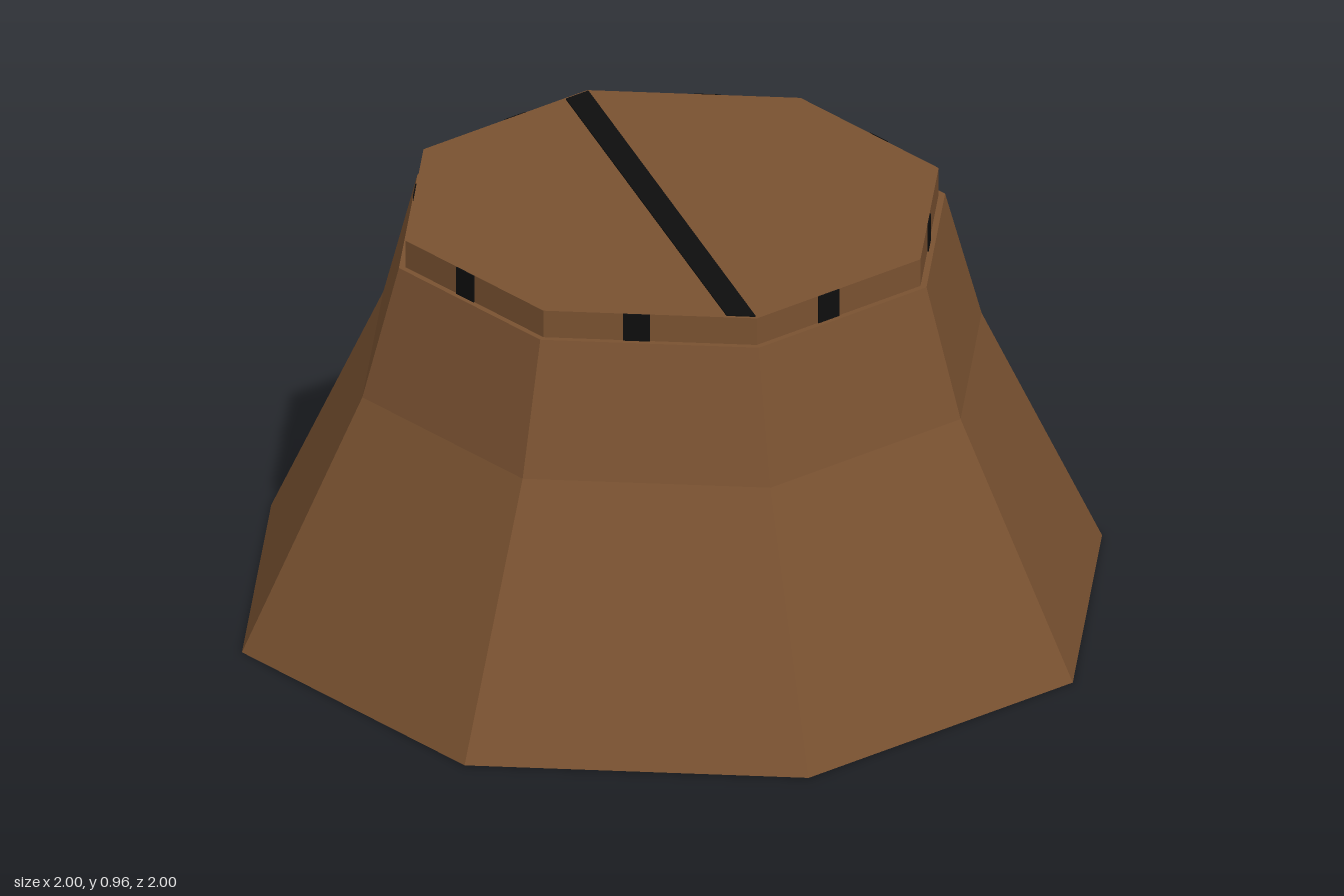
import * as THREE from 'three';

const SIDES = 8;
const CAP_RADIUS = 0.62, CAP_BOTTOM = 0.89, CAP_TOP = 0.955;
const MARK_WIDTH = 0.06, PLATE = 0.003;

const brown = new THREE.MeshStandardMaterial({ color: 0x7a5231, flatShading: true });
brown.name = 'brown';
const black = new THREE.MeshStandardMaterial({ color: 0x0e0e0e, flatShading: true });
black.name = 'black';

function addMesh(parent, name, geometry, material) {
  const mesh = new THREE.Mesh(geometry, material);
  mesh.name = name;
  parent.add(mesh);
  return mesh;
}

// Octagonal solid turned from [radius, height] pairs, with corners on the axes
function octagonSolid(profile) {
  return new THREE.LatheGeometry(profile.map(([r, y]) => new THREE.Vector2(r, y)), SIDES);
}

export function createModel() {
  const model = new THREE.Group();
  model.name = 'octagonalPedestal';

  // Flared body with a closed underside
  addMesh(model, 'body', octagonSolid([[0, 0], [1, 0], [0.72, 0.585], [0.635, CAP_BOTTOM], [0, CAP_BOTTOM]]), brown);

  // Slightly inset cap
  addMesh(model, 'cap', octagonSolid([[CAP_RADIUS, CAP_BOTTOM], [CAP_RADIUS, CAP_TOP], [0, CAP_TOP]]), brown);

  // Stripe across the cap, its ends following the octagon's edge
  const end = CAP_RADIUS - 0.008;
  const endSide = end - MARK_WIDTH * Math.tan(Math.PI / SIDES);
  const outline = new THREE.Shape([
    new THREE.Vector2(0, -end), new THREE.Vector2(0, end),
    new THREE.Vector2(-MARK_WIDTH, endSide), new THREE.Vector2(-MARK_WIDTH, -endSide),
  ]);
  const stripe = new THREE.ExtrudeGeometry(outline, { depth: PLATE, bevelEnabled: false });
  stripe.rotateX(-Math.PI / 2);
  addMesh(model, 'topStripe', stripe, black).position.y = CAP_TOP;

  // One mark on each side of the cap, just left of the side's middle
  const marks = new THREE.Group();
  marks.name = 'sideMarks';
  const height = CAP_TOP - CAP_BOTTOM;
  const apothem = CAP_RADIUS * Math.cos(Math.PI / SIDES);
  const markGeometry = new THREE.BoxGeometry(MARK_WIDTH, height, PLATE);
  markGeometry.translate(-MARK_WIDTH / 2, CAP_BOTTOM + height / 2, apothem + PLATE / 2);
  for (let i = 0; i < SIDES; i++) {
    addMesh(marks, 'sideMark', markGeometry, black).rotation.y = ((i + 0.5) / SIDES) * Math.PI * 2;
  }
  model.add(marks);

  return model;
}
